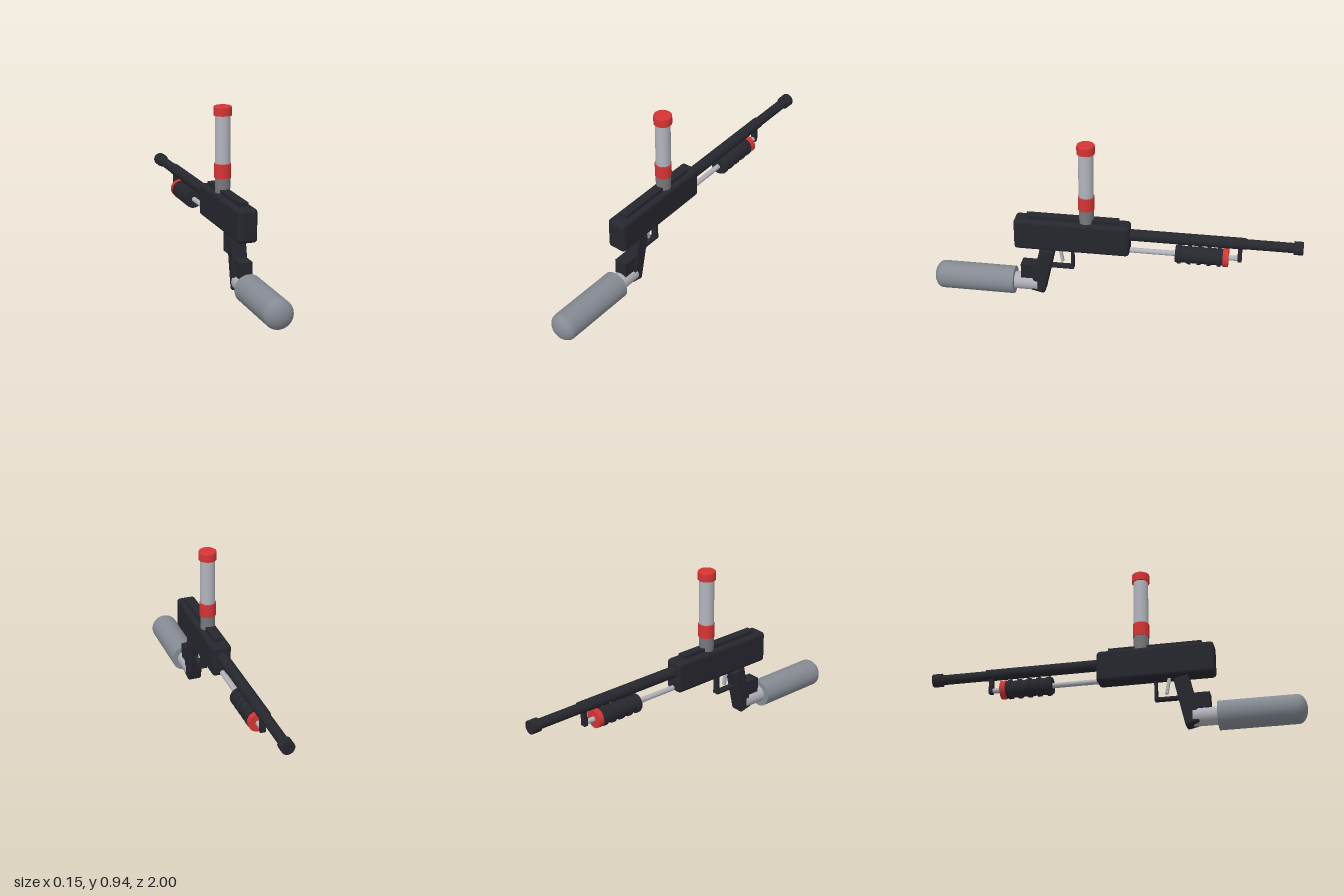
import * as THREE from 'three';
import { RoundedBoxGeometry } from 'three/addons/geometries/RoundedBoxGeometry.js';

const mat = (name, color) => {
  const m = new THREE.MeshStandardMaterial({ color });
  m.name = name;
  return m;
};

export function createModel() {
  const model = new THREE.Group();
  const black = mat('black', 0x26262e);
  const red = mat('red', 0xd63434);
  const tubeGrey = mat('tubeGrey', 0xb2b4be);
  const neckGrey = mat('neckGrey', 0x78787c);
  const tankGrey = mat('tankGrey', 0x858a93);
  const silver = mat('silver', 0xb0b0b8);

  const add = (name, geometry, material, x, y, z, rx = 0) => {
    const mesh = new THREE.Mesh(geometry, material);
    mesh.name = name;
    mesh.position.set(x, y, z);
    mesh.rotation.x = rx;
    model.add(mesh);
    return mesh;
  };
  // box given by its z and y ranges, centred on x
  const box = (name, material, w, y0, y1, z0, z1, r = 0) => {
    const size = [w, y1 - y0, z1 - z0];
    const g = r ? new RoundedBoxGeometry(...size, 4, r) : new THREE.BoxGeometry(...size);
    return add(name, g, material, 0, (y0 + y1) / 2, (z0 + z1) / 2);
  };
  // cylinder along z
  const rod = (name, material, r, y, z0, z1) =>
    add(name, new THREE.CylinderGeometry(r, r, z1 - z0, 32), material, 0, y, (z0 + z1) / 2, Math.PI / 2);
  // upright cylinder with slightly rounded rims
  const upright = (name, material, r, y0, y1, bevel) => {
    const pts = [new THREE.Vector2(0, 0), new THREE.Vector2(r, 0)];
    for (let i = 0; i <= 4; i++) {
      const a = (i / 4) * Math.PI / 2;
      pts.push(new THREE.Vector2(r - bevel + bevel * Math.cos(a), y1 - y0 - bevel + bevel * Math.sin(a)));
    }
    pts.push(new THREE.Vector2(0, y1 - y0));
    // split at the hard lower edge so the wall keeps its own normals
    add(name + 'Base', new THREE.CircleGeometry(r, 32), material, 0, y0, 0.15, Math.PI / 2);
    add(name, new THREE.LatheGeometry(pts.slice(1), 32), material, 0, y0, 0.15);
  };

  // receiver and top rail
  box('body', black, 0.105, 0.305, 0.48, -0.085, 0.54, 0.02);
  box('topRail', black, 0.048, 0.475, 0.5, -0.025, 0.475);

  // barrel, sleeve and muzzle
  rod('barrel', black, 0.027, 0.416, -0.97, -0.06);
  rod('barrelSleeve', black, 0.031, 0.418, -0.7, -0.06);
  rod('muzzle', black, 0.036, 0.416, -1, -0.95);

  // pump with ribs, red end ring and hanger
  rod('pumpRod', silver, 0.014, 0.325, -0.68, -0.07);
  rod('pumpGrip', black, 0.045, 0.325, -0.59, -0.33);
  for (let i = 0; i < 5; i++) {
    const z = -0.35 - i * 0.053;
    rod('pumpRib', black, 0.052, 0.325, z - 0.009, z + 0.009);
  }
  rod('pumpRing', red, 0.05, 0.325, -0.612, -0.583);
  box('pumpHanger', black, 0.03, 0.31, 0.4, -0.682, -0.66);

  // feed tube
  add('feedNeck', new THREE.CylinderGeometry(0.04, 0.04, 0.1, 32), neckGrey, 0, 0.52, 0.15);
  add('feedTube', new THREE.CylinderGeometry(0.04, 0.04, 0.28, 32), tubeGrey, 0, 0.75, 0.15);
  upright('feedCollar', red, 0.044, 0.558, 0.634, 0.003);
  upright('feedCap', red, 0.048, 0.885, 0.935, 0.01);

  // grip leaning backwards, with a block behind it
  add('grip', new RoundedBoxGeometry(0.08, 0.275, 0.082, 4, 0.014), black, 0, 0.165, 0.392, -0.22);
  box('gripBlock', black, 0.07, 0.115, 0.2, 0.41, 0.51);

  // trigger and guard
  add('trigger', new THREE.BoxGeometry(0.018, 0.09, 0.015), silver, 0, 0.265, 0.29, 0.17);
  box('guardBottom', black, 0.036, 0.185, 0.198, 0.22, 0.38);
  box('guardFront', black, 0.036, 0.185, 0.292, 0.22, 0.234);

  // air tank with domed rear end and its connector
  rod('tankConnector', silver, 0.047, 0.076, 0.42, 0.56);
  const tank = [];
  for (let i = 0; i <= 10; i++) {
    const a = (i / 10) * Math.PI / 2;
    tank.push(new THREE.Vector2(0.076 * Math.cos(a), 0.4 + 0.05 * Math.sin(a)));
  }
  tank.unshift(new THREE.Vector2(0.076, 0));
  add('tank', new THREE.LatheGeometry(tank, 40), tankGrey, 0, 0.076, 0.55, Math.PI / 2);
  const tankFront = add('tankFront', new THREE.CircleGeometry(0.076, 40), tankGrey, 0, 0.076, 0.55);
  tankFront.rotation.y = Math.PI;

  return model;
}
